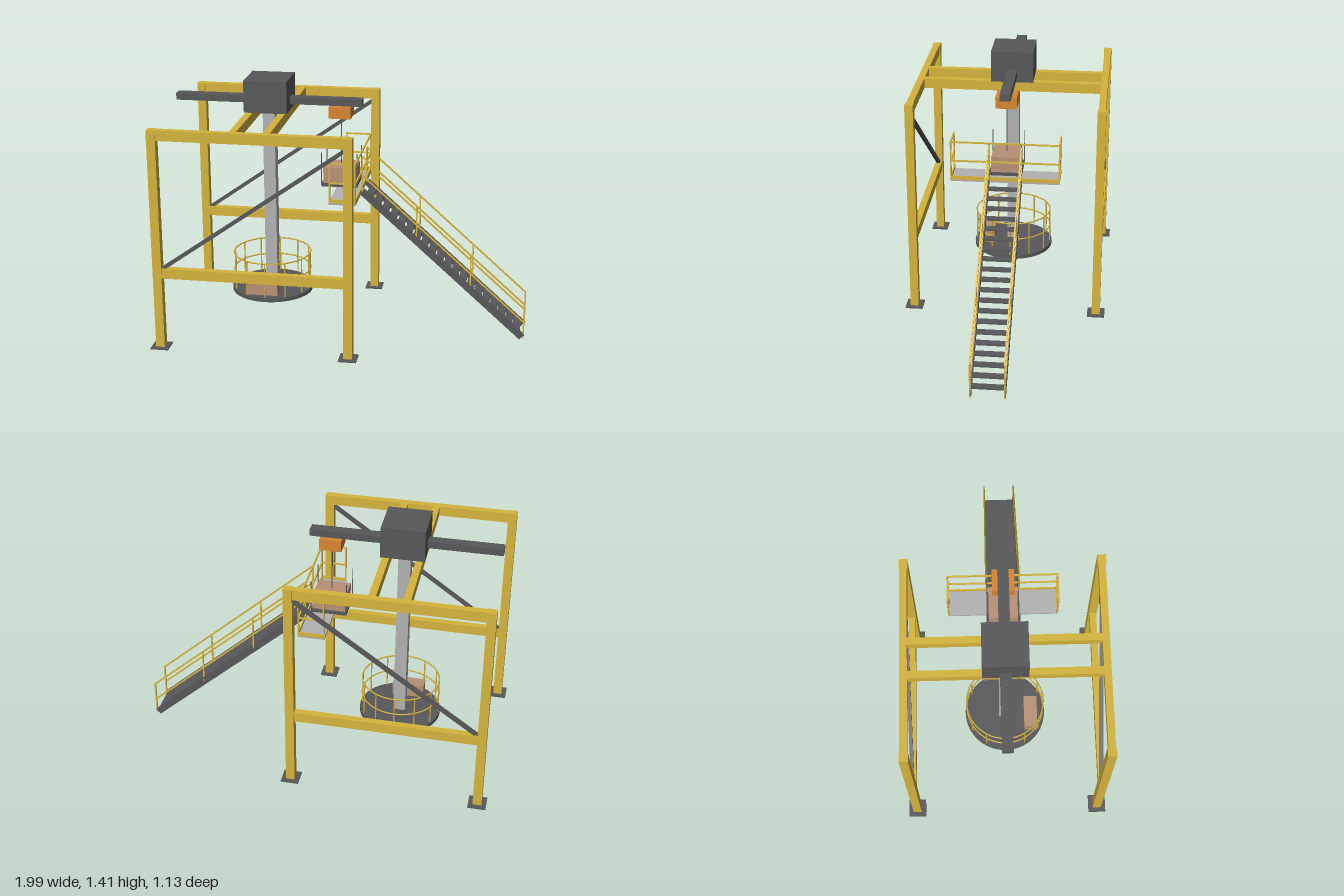
import * as THREE from 'three';

const mat = (color) => new THREE.MeshStandardMaterial({ color });

export function createModel() {
  const root = new THREE.Group();
  const yellow = mat(0xd4b43c), dark = mat(0x58585a), steel = mat(0xb2b2b2);
  const orange = mat(0xd98530), tan = mat(0xb89274);

  const group = (name, parent = root) => {
    const g = new THREE.Group();
    g.name = name;
    parent.add(g);
    return g;
  };
  // Box given by its limits on each axis
  const box = (name, x, y, z, material, parent = root) => {
    const m = new THREE.Mesh(new THREE.BoxGeometry(x[1] - x[0], y[1] - y[0], z[1] - z[0]), material);
    m.position.set((x[0] + x[1]) / 2, (y[0] + y[1]) / 2, (z[0] + z[1]) / 2);
    m.name = name;
    parent.add(m);
    return m;
  };
  // Square bar between two points in a plane of constant z
  const slopedBar = (name, a, b, z, depth, width, material, parent) => {
    const dx = b[0] - a[0], dy = b[1] - a[1];
    const m = new THREE.Mesh(new THREE.BoxGeometry(Math.hypot(dx, dy), depth, width), material);
    m.position.set((a[0] + b[0]) / 2, (a[1] + b[1]) / 2, z);
    m.rotation.z = Math.atan2(dy, dx);
    m.name = name;
    parent.add(m);
  };
  const around = (c, w) => [c - w / 2, c + w / 2];

  // Two side frames: posts, beams, feet and diagonal brace
  for (const s of [-1, 1]) {
    const frame = group('sideFrame');
    const z = 0.515 * s;
    for (const x of [-0.951, 0.075]) {
      box('post', around(x, 0.048), [0.019, 1.243], around(z, 0.046), yellow, frame);
      box('footPlate', around(x, 0.097), [0.02, 0.027], around(z, 0.097), dark, frame);
    }
    box('topBeam', [-0.975, 0.099], [1.187, 1.243], around(z, 0.038), yellow, frame);
    box('middleBeam', [-0.93, 0.055], [0.425, 0.48], around(z, 0.038), yellow, frame);
    slopedBar('brace', [-0.925, 0.475], [0.06, 1.175], z, 0.019, 0.019, dark, frame);
  }
  for (const x of [-0.527, -0.35]) {
    box('crossBeam', around(x, 0.038), [1.187, 1.243], [-0.5, 0.5], yellow);
  }

  // Slewing head, jib, hoist and mast
  const cx = -0.438;
  box('craneHead', around(cx, 0.235), [1.243, 1.418], [-0.118, 0.118], dark);
  box('jib', [-0.953, 0.073], [1.276, 1.314], [-0.029, 0.029], dark);
  box('hoist', [-0.103, 0.016], [1.212, 1.276], [-0.058, 0.058], orange);
  box('hoistCable', around(-0.043, 0.005), [0.945, 1.212], around(0, 0.005), dark);
  box('mast', around(cx, 0.066), [0.21, 1.243], [-0.033, 0.033], steel);

  // Round platform with guard rail and crate
  const basket = group('roundPlatform');
  basket.position.x = cx;
  const deck = new THREE.Mesh(new THREE.CylinderGeometry(0.226, 0.226, 0.022, 40), dark);
  deck.position.y = 0.202;
  deck.name = 'deck';
  basket.add(deck);
  for (const y of [0.314, 0.412]) {
    const ring = new THREE.Mesh(new THREE.TorusGeometry(0.215, 0.004, 6, 48), yellow);
    ring.rotation.x = Math.PI / 2;
    ring.position.y = y;
    ring.name = 'guardRing';
    basket.add(ring);
  }
  for (let i = 0; i < 12; i++) {
    const a = i * Math.PI / 6;
    const p = new THREE.Mesh(new THREE.CylinderGeometry(0.004, 0.004, 0.2, 6), yellow);
    p.position.set(0.215 * Math.cos(a), 0.312, 0.215 * Math.sin(a));
    p.name = 'guardPost';
    basket.add(p);
  }
  box('crate', [-0.115, 0.062], [0.213, 0.29], [0.108, 0.182], tan, basket);

  // Suspended pallet with its load
  const load = group('palletLoad');
  box('pallet', [-0.14, 0.056], [0.838, 0.855], [-0.089, 0.089], dark, load);
  box('crate', [-0.131, 0.048], [0.855, 0.943], [-0.078, 0.078], tan, load);
  for (const x of [-0.139, 0.055]) for (const z of [-0.088, 0.088]) {
    box('slingRod', around(x, 0.004), [0.845, 1.03], around(z, 0.004), dark, load);
  }

  // Landing with toe boards and railing
  const landing = group('landing');
  box('floor', [-0.064, 0.08], [0.806, 0.82], [-0.297, 0.297], steel, landing);
  box('toeBoard', [0.074, 0.081], [0.815, 0.836], [-0.297, 0.297], yellow, landing);
  for (const z of [-0.295, 0.295]) {
    box('toeBoard', [-0.064, 0.08], [0.815, 0.836], around(z, 0.007), yellow, landing);
    for (const x of [-0.06, 0.077]) {
      box('railPost', around(x, 0.008), [0.815, 1.038], around(z, 0.008), yellow, landing);
    }
  }
  for (const y of [0.925, 1.034]) {
    box('sideRail', around(0.077, 0.008), around(y, 0.008), [-0.298, 0.298], yellow, landing);
    for (const z of [-0.295, 0.295]) {
      box('endRail', [-0.064, 0.08], around(y, 0.008), around(z, 0.008), yellow, landing);
    }
  }

  // Stairway: stringers, treads and handrails
  const stairs = group('stairway');
  const slope = -0.894;
  const lineY = (x, y0) => y0 + slope * (x - 0.085);
  for (const z of [-0.089, 0.089]) {
    slopedBar('stringer', [0.085, 0.82], [0.978, 0.019], z, 0.04, 0.008, dark, stairs);
    for (const y0 of [0.912, 1.018]) {
      slopedBar('handrail', [0.085, y0], [0.989, lineY(0.989, y0)], z, 0.008, 0.008, yellow, stairs);
    }
    for (const x of [0.085, 0.385, 0.685, 0.985]) {
      box('handrailPost', around(x, 0.008), [lineY(x, 0.82), lineY(x, 1.02)], around(z, 0.008), yellow, stairs);
    }
  }
  for (let i = 0; i < 20; i++) {
    const x = 0.122 + i * 0.0433, y = 0.787 - i * 0.0385;
    box('tread', around(x, 0.043), around(y, 0.008), [-0.086, 0.086], dark, stairs);
  }
  return root;
}
